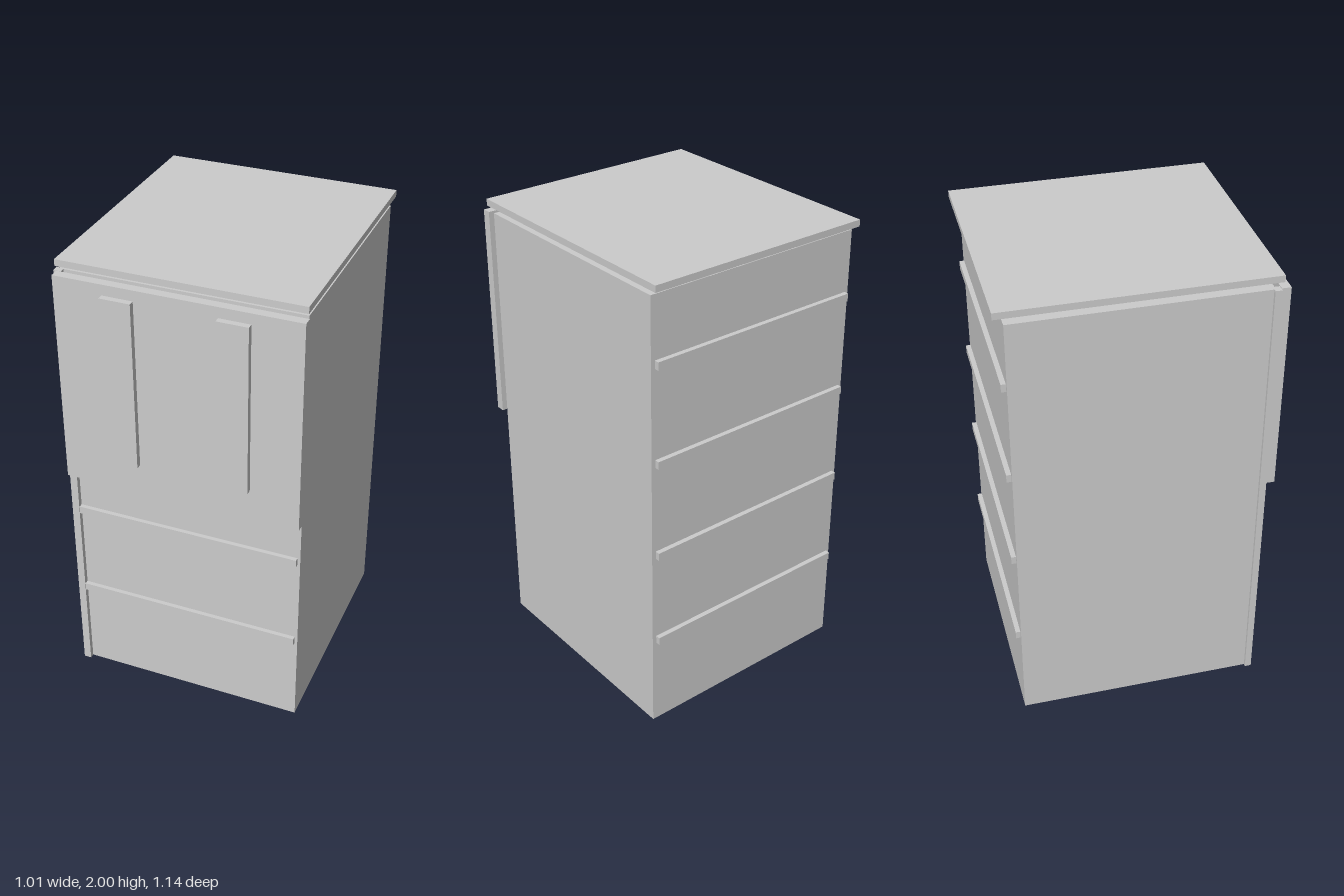
import * as THREE from 'three';

export function createModel() {
  const model = new THREE.Group();
  model.name = 'cabinet';

  const grey = new THREE.MeshStandardMaterial({ color: 0xcccccc });
  grey.name = 'light grey';

  // Box given by its lower and upper limits on each axis
  function box(name, [x0, x1], [y0, y1], [z0, z1]) {
    const mesh = new THREE.Mesh(new THREE.BoxGeometry(x1 - x0, y1 - y0, z1 - z0), grey);
    mesh.position.set((x0 + x1) / 2, (y0 + y1) / 2, (z0 + z1) / 2);
    mesh.name = name;
    model.add(mesh);
  }

  // Carcass, recessed neck and overhanging worktop
  box('body', [-0.495, 0.497], [0, 1.947], [-0.531, 0.485]);
  box('neck', [-0.445, 0.45], [1.947, 1.972], [-0.493, 0.435]);
  box('worktop', [-0.494, 0.506], [1.972, 2], [-0.571, 0.519]);

  // Upright strip at the front corner
  box('cornerPost', [-0.508, -0.476], [0, 1.947], [0.478, 0.506]);

  // Horizontal rails on the front and back
  for (const y of [0.418, 0.835, 1.252, 1.67]) {
    const span = [y - 0.017, y + 0.017];
    box('frontRail', [-0.478, 0.485], span, [0.48, 0.503]);
    box('backRail', [-0.479, 0.479], span, [-0.551, -0.527]);
  }

  // Upper door panel with two vertical pulls
  box('doorPanel', [-0.494, 0.506], [1.038, 1.947], [0.508, 0.546]);
  for (const x of [-0.227, 0.238]) {
    box('doorPull', [x - 0.064, x + 0.064], [1.174, 1.902], [0.546, 0.571]);
  }

  return model;
}
